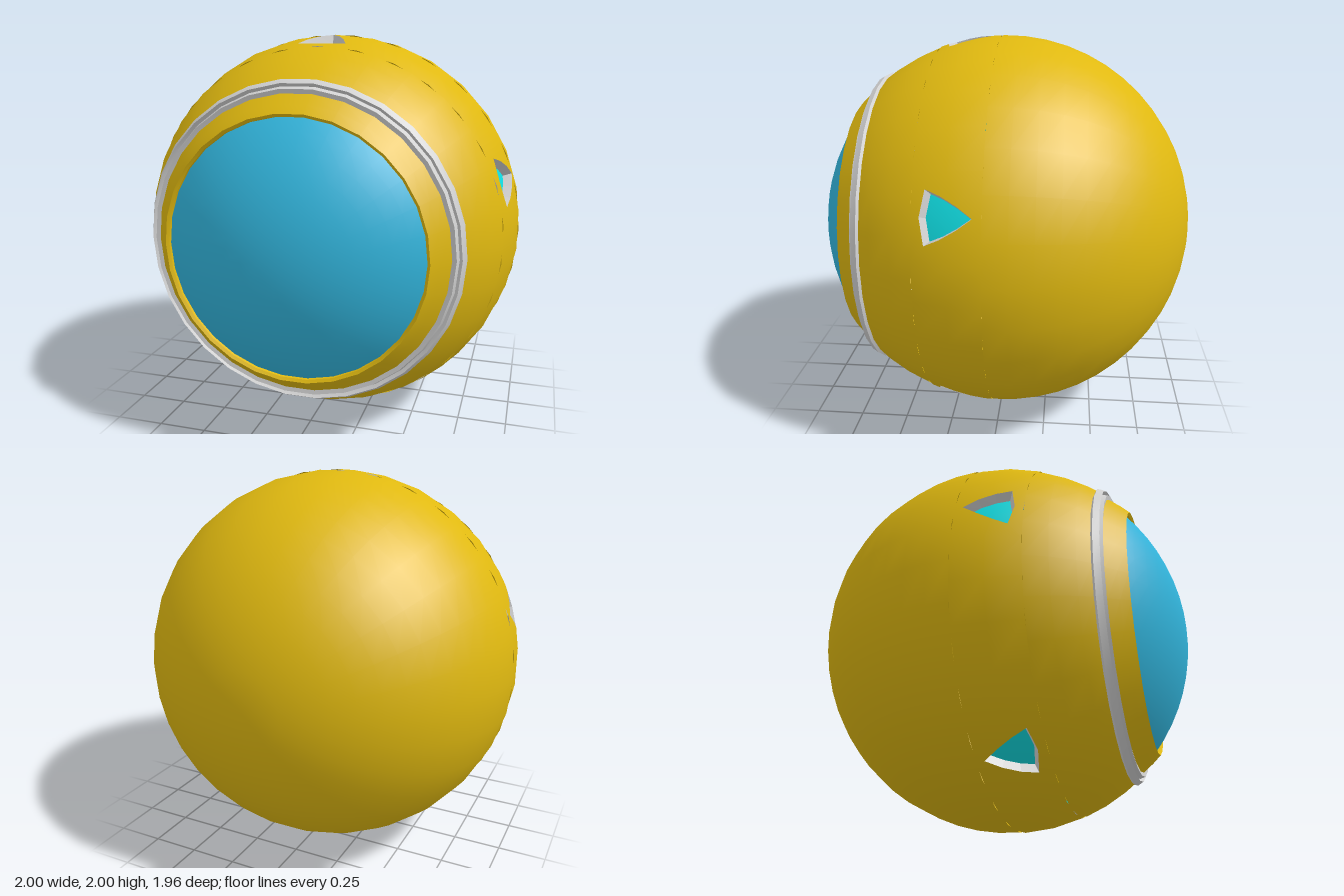
import * as THREE from 'three';
import { toCreasedNormals } from 'three/addons/utils/BufferGeometryUtils.js';

const SEGS = 30;
const STEP = (Math.PI * 2) / SEGS;

// Surface of revolution around z; points are [radius, z] from back to front.
function turned(points, start = 0, segs = SEGS) {
  const g = new THREE.LatheGeometry(points.map(p => new THREE.Vector2(...p)), segs, start + Math.PI / 2, segs * STEP);
  return g.rotateX(Math.PI / 2);
}

// Smooth normals pointing away from the centre.
function roundNormals(g) {
  const p = g.attributes.position, v = new THREE.Vector3();
  for (let i = 0; i < p.count; i++) {
    v.fromBufferAttribute(p, i).normalize();
    g.attributes.normal.setXYZ(i, v.x, v.y, v.z);
  }
  return g;
}

const onBall = (z, R = 1) => [Math.sqrt(Math.max(0, R * R - z * z)), z];

// Point on the ball at angle a around z, height z, scaled inward by s.
function ballPoint([a, z], mid, s = 1) {
  const [r] = onBall(z);
  return [Math.cos(mid + a) * r * s, Math.sin(mid + a) * r * s, z * s];
}

// Joins two closed loops of points with a strip of faces.
function strip(inner, outer) {
  const pos = [], n = inner.length;
  for (let i = 0; i < n; i++) {
    const j = (i + 1) % n;
    pos.push(...inner[i], ...outer[j], ...outer[i], ...inner[i], ...inner[j], ...outer[j]);
  }
  const g = new THREE.BufferGeometry();
  g.setAttribute('position', new THREE.Float32BufferAttribute(pos, 3));
  g.computeVertexNormals();
  return g;
}

// Mirrors a half outline (first and last points lie on the centre line).
const mirrored = half => [...half, ...half.slice(1, -1).reverse().map(([a, z]) => [-a, z])];

export function createModel() {
  const model = new THREE.Group();
  model.name = 'roundPod';
  const body = new THREE.Group();
  body.name = 'body';
  body.position.y = 1;
  model.add(body);

  const mat = (name, color, side = THREE.FrontSide) => {
    const m = new THREE.MeshStandardMaterial({ color, side });
    m.name = name;
    return m;
  };
  const yellow = mat('yellowShell', 0xe0b910, THREE.DoubleSide);
  const grey = mat('lightGreyTrim', 0xd2d2d2, THREE.DoubleSide);
  const blue = mat('blueWindow', 0x33b8e0);
  const cyan = mat('cyanLight', 0x10dde2, THREE.DoubleSide);

  const add = (name, geometry, material, parent = body) => {
    const m = new THREE.Mesh(geometry, material);
    m.name = name;
    parent.add(m);
  };

  // Shell behind and in front of the band that holds the lights
  const back = [[0, -0.98]];
  for (let i = 0; i <= 12; i++) back.push(onBall(Math.sin(THREE.MathUtils.lerp(-1.371, 0.02, i / 12))));
  back[back.length - 1] = onBall(0.02);
  add('backShell', roundNormals(turned(back)), yellow);
  add('frontShell', roundNormals(turned([0.34, 0.45, 0.56, 0.625].map(z => onBall(z)))), yellow);

  // Grooved grey ring and the yellow window frame
  add('greyRing', toCreasedNormals(turned([
    [0.78, 0.615], [0.798, 0.63], [0.78, 0.66], [0.765, 0.645], [0.755, 0.672], [0.73, 0.667],
  ]), 0.5), grey);
  add('windowFrame', toCreasedNormals(turned([
    [0.745, 0.655], [0.73, 0.672], [0.69, 0.722], [0.65, 0.765], [0.636, 0.755], [0.632, 0.715],
  ]), 0.6), yellow);

  // Domed window
  const dome = [];
  for (let i = 0; i <= 8; i++) {
    const t = (1 - i / 8) * 0.722;
    dome.push([Math.sin(t) * 0.976, Math.cos(t) * 0.976]);
  }
  add('windowDome', roundNormals(turned(dome)), blue);

  // Five recessed triangular lights around the shell
  const hole = mirrored([[0, 0.3], [0.13, 0.277], [0.097, 0.205], [0.052, 0.13], [0, 0.06]]);
  const frame = mirrored([[0, 0.34], [STEP, 0.34], [STEP, 0.18], [STEP, 0.02], [0, 0.02]]);
  const floor = hole.map(([a, z]) => [a * 0.88, 0.192 + (z - 0.192) * 0.9]);
  for (let k = 0; k < 5; k++) {
    const mid = Math.PI / 2 + (k * Math.PI * 2) / 5;
    const light = new THREE.Group();
    light.name = 'triangleLight' + (k + 1);
    body.add(light);
    const rim = hole.map(p => ballPoint(p, mid));
    const low = floor.map(p => ballPoint(p, mid, 0.955));
    const centre = ballPoint([0, 0.2], mid, 0.955);
    const outer = frame.map(p => ballPoint(p, mid));
    // Winding runs clockwise seen from outside, so the outer loop goes first
    add('surround', roundNormals(strip(outer, rim)), yellow, light);
    add('wall', strip(rim, low), grey, light);
    add('floor', roundNormals(strip(low, low.map(() => centre))), cyan, light);
    // Plain shell between this light and the next
    add('bandShell', roundNormals(turned([0.02, 0.18, 0.34].map(z => onBall(z)), mid + STEP, 4)), yellow, light);
  }
  return model;
}
